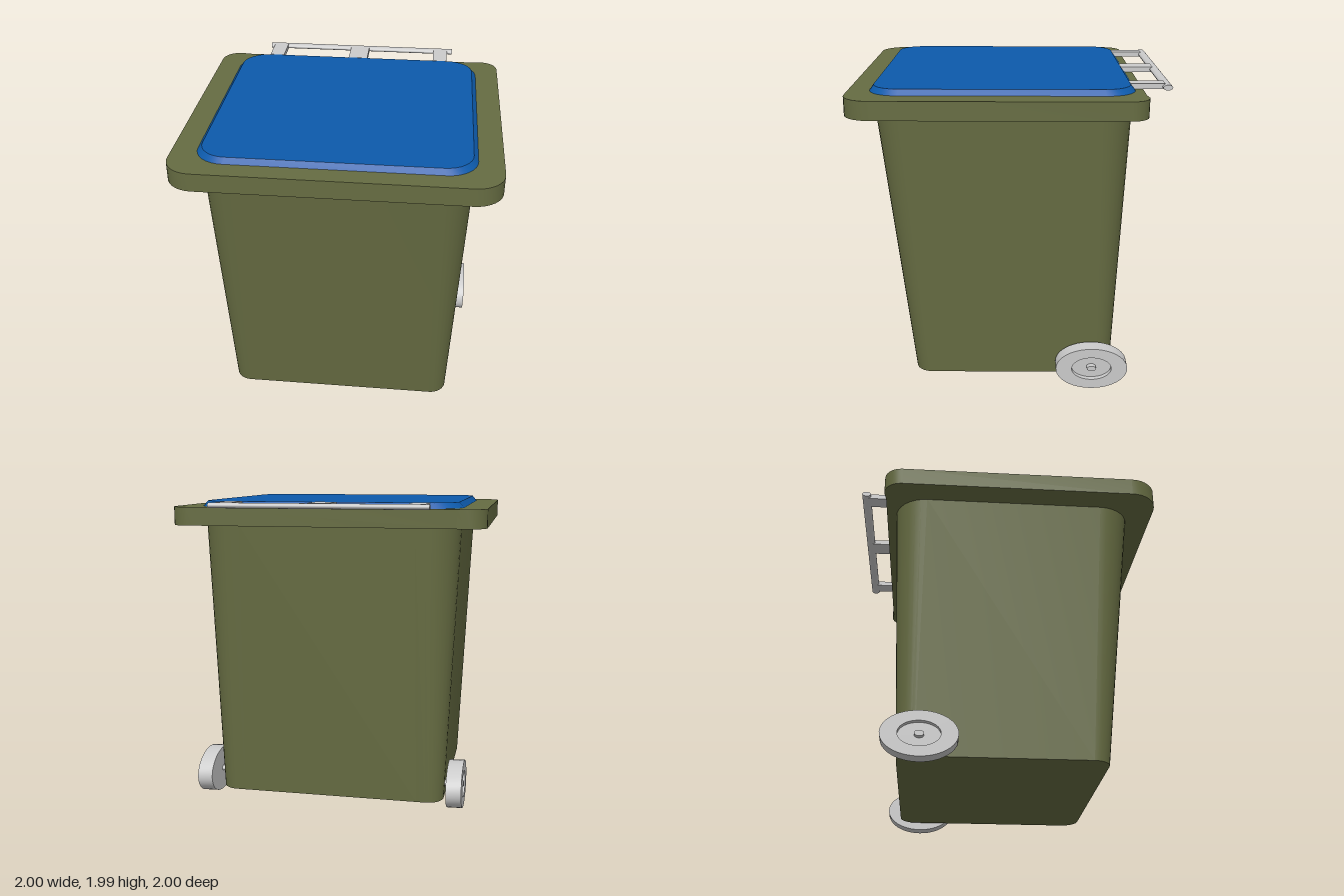
import * as THREE from 'three';
import { toCreasedNormals } from 'three/addons/utils/BufferGeometryUtils.js';

const green = new THREE.MeshStandardMaterial({ color: 0x666c42 });
const blue = new THREE.MeshStandardMaterial({ color: 0x0d5aab });
const grey = new THREE.MeshStandardMaterial({ color: 0xcccccc });

// Rounded rectangle in the xz plane; dip pulls in the middle of the back edge
function outline({ w, front, back, r, rBack = r, dip = 0 }) {
  const corners = [
    [w - r, front - r, r],
    [r - w, front - r, r],
    [rBack - w, back + rBack, rBack],
    [w - rBack, back + rBack, rBack],
  ];
  const pts = [];
  corners.forEach(([cx, cz, rad], k) => {
    for (let i = 0; i <= 8; i++) {
      const a = (k + i / 8) * Math.PI / 2;
      pts.push([cx + rad * Math.cos(a), cz + rad * Math.sin(a)]);
    }
    if (k === 2) {
      const x = w - rBack - 0.06;
      pts.push([-x, back + dip], [x, back + dip]);
    }
  });
  return pts;
}

// Closed solid through a stack of outlines, bottom to top
function loft(sections) {
  const pos = [], index = [];
  const rings = sections.map(outline);
  const n = rings[0].length;
  rings.forEach((ring, s) => ring.forEach(([x, z]) => pos.push(x, sections[s].y, z)));
  for (let s = 0; s < rings.length - 1; s++) {
    for (let i = 0; i < n; i++) {
      const a = s * n + i, b = s * n + (i + 1) % n;
      index.push(a, a + n, b + n, a, b + n, b);
    }
  }
  const last = sections.length - 1;
  const bottom = pos.length / 3, top = bottom + 1;
  for (const s of [0, last]) pos.push(0, sections[s].y, (sections[s].front + sections[s].back) / 2);
  for (let i = 0; i < n; i++) {
    const j = (i + 1) % n;
    index.push(bottom, i, j, top, last * n + j, last * n + i);
  }
  const geo = new THREE.BufferGeometry();
  geo.setAttribute('position', new THREE.Float32BufferAttribute(pos, 3));
  geo.setIndex(index);
  return toCreasedNormals(geo, 0.5);
}

function part(parent, name, geo, material, x = 0, y = 0, z = 0) {
  const mesh = new THREE.Mesh(geo, material);
  mesh.name = name;
  mesh.position.set(x, y, z);
  parent.add(mesh);
  return mesh;
}

export function createModel() {
  const bin = new THREE.Group();
  bin.name = 'wheeledBin';

  // Tapered container
  part(bin, 'body', loft([
    { y: 0.055, w: 0.755, front: 0.635, back: -0.675, r: 0.11 },
    { y: 1.855, w: 0.833, front: 0.842, back: -0.757, r: 0.21 },
  ]), green);

  // Overhanging rim
  const rim = { w: 1, front: 1, back: -0.832, r: 0.18, rBack: 0.12, dip: 0.01 };
  part(bin, 'rim', loft([{ ...rim, y: 1.848 }, { ...rim, y: 1.965 }]), green);

  // Bevelled lid
  part(bin, 'lid', loft([
    { y: 1.96, w: 0.85, front: 0.87, back: -0.775, r: 0.19 },
    { y: 2, w: 0.817, front: 0.842, back: -0.742, r: 0.17 },
  ]), blue);

  // Rear handle: bar on three arms
  const handle = new THREE.Group();
  handle.name = 'handle';
  bin.add(handle);
  const bar = new THREE.CylinderGeometry(1, 1, 1.355, 24).rotateZ(Math.PI / 2).scale(1, 0.017, 0.03);
  part(handle, 'handleBar', bar, grey, 0, 1.983, -0.97);
  for (const [x, width] of [[-0.6, 0.1], [-0.005, 0.135], [0.59, 0.1]]) {
    part(handle, 'handleArm', new THREE.BoxGeometry(width, 0.034, 0.215), grey, x, 1.984, -0.85);
  }

  // Oval wheels with a recessed outer face; the profile runs along the axle
  const profile = [
    [0, -0.05], [0.235, -0.05], [0.235, 0.05], [0.13, 0.05],
    [0.13, 0.015], [0.03, 0.015], [0.03, 0.05], [0, 0.05],
  ].map(([r, h]) => new THREE.Vector2(r, h));
  const squash = 0.145 / 0.235;
  for (const side of [1, -1]) {
    const geo = new THREE.LatheGeometry(profile, 48).rotateZ(-side * Math.PI / 2).scale(1, squash, 1);
    const wheel = part(bin, side > 0 ? 'leftWheel' : 'rightWheel',
      toCreasedNormals(geo, 0.5), grey, side * 0.834, 0.153, -0.537);
    wheel.rotation.z = -0.02;
  }
  const axle = new THREE.CylinderGeometry(0.03, 0.03, 1.62, 20).rotateZ(Math.PI / 2).scale(1, squash, 1);
  part(bin, 'axle', axle, grey, 0, 0.153, -0.537);

  return bin;
}
